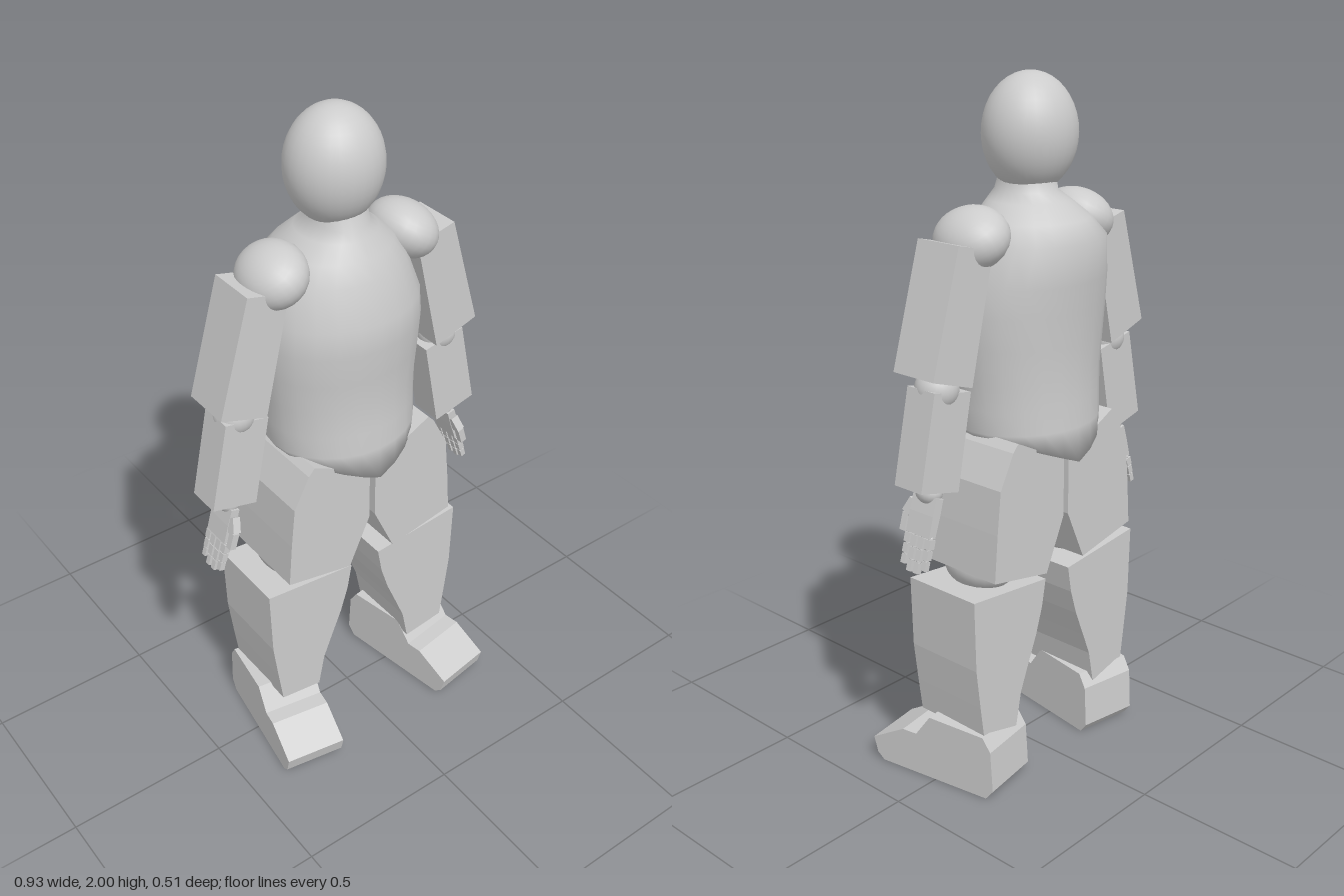
import * as THREE from 'three';

const material = new THREE.MeshStandardMaterial({ color: 0xcccccc });
const MID = -0.037; // depth of the arm line

function add(parent, name, geometry, x = 0, y = 0, z = 0) {
  const mesh = new THREE.Mesh(geometry, material);
  mesh.name = name;
  mesh.position.set(x, y, z);
  parent.add(mesh);
  return mesh;
}

// Outline extruded between two depths; side mirrors it in x
function slab(points, side, z0, z1) {
  const shape = new THREE.Shape(points.map(([x, y]) => new THREE.Vector2(x * side, y)));
  return new THREE.ExtrudeGeometry(shape, { depth: z1 - z0, bevelEnabled: false }).translate(0, 0, z0);
}

function ellipsoid(rx, ry, rz, w = 24, h = 16) {
  return new THREE.SphereGeometry(1, w, h).scale(rx, ry, rz);
}

// Rings of [y, half width, front z, back z]; the lowest ring is cut to a V
function torsoGeometry() {
  const rings = [
    [1.73, 0.075, 0.045, -0.115], [1.69, 0.08, 0.06, -0.125], [1.665, 0.11, 0.075, -0.16],
    [1.62, 0.165, 0.1, -0.21], [1.57, 0.205, 0.127, -0.253], [1.46, 0.237, 0.162, -0.243],
    [1.38, 0.243, 0.163, -0.234], [1.29, 0.238, 0.155, -0.227], [1.2, 0.23, 0.149, -0.222],
    [1.12, 0.225, 0.154, -0.225], [1.055, 0.225, 0.16, -0.228], [0.955, 0.215, 0.164, -0.233],
  ];
  const n = 24, pos = [], index = [];
  rings.forEach(([y, w, front, back], i) => {
    for (let j = 0; j < n; j++) {
      const a = (j / n) * Math.PI * 2;
      const cut = i === rings.length - 1 ? 0.085 * Math.abs(Math.cos(a)) : 0;
      pos.push(-0.005 + w * Math.cos(a), y + cut, (front + back) / 2 + (front - back) / 2 * Math.sin(a));
    }
  });
  for (let i = 0; i < rings.length - 1; i++) {
    for (let j = 0; j < n; j++) {
      const a = i * n + j, b = i * n + (j + 1) % n;
      index.push(a, b, a + n, b, b + n, a + n);
    }
  }
  // underside
  const last = (rings.length - 1) * n;
  pos.push(-0.005, 0.99, -0.035);
  for (let j = 0; j < n; j++) index.push(last + j, last + (j + 1) % n, rings.length * n);
  const geometry = new THREE.BufferGeometry();
  geometry.setAttribute('position', new THREE.Float32BufferAttribute(pos, 3));
  geometry.setIndex(index);
  geometry.computeVertexNormals();
  return geometry;
}

// Hand hangs down from the wrist at its origin
function makeHand(side) {
  const hand = new THREE.Group();
  hand.name = 'hand';
  add(hand, 'wrist', ellipsoid(0.035, 0.035, 0.04, 16, 12));
  const palm = [[-0.013, -0.01], [0.013, -0.01], [0.014, -0.06], [0.012, -0.12], [-0.012, -0.12], [-0.014, -0.06]];
  add(hand, 'palm', slab(palm, side, -0.044, 0.044));
  const lengths = [0.09, 0.105, 0.105, 0.09];
  lengths.forEach((length, i) => {
    const z = 0.039 - i * 0.026;
    for (let k = 0; k < 3; k++) {
      const part = length / 3, size = 0.02 - k * 0.002;
      const y = -0.121 - part * (k + 0.5);
      add(hand, 'fingerSegment', new THREE.BoxGeometry(size, part * 0.86, size), 0, y, z);
      add(hand, 'fingerJoint', ellipsoid(0.008, 0.008, 0.008, 8, 6), 0, y + part / 2, z);
    }
  });
  // thumb
  const thumb = new THREE.Group();
  thumb.name = 'thumb';
  thumb.position.set(0, -0.04, 0.045);
  thumb.rotation.x = -0.45;
  add(thumb, 'thumbBase', new THREE.BoxGeometry(0.024, 0.045, 0.028), 0, -0.015, 0);
  const tip = add(thumb, 'thumbTip', new THREE.BoxGeometry(0.02, 0.05, 0.02), 0, -0.06, -0.01);
  tip.rotation.x = 0.45;
  hand.add(thumb);
  return hand;
}

function makeArm(side) {
  const arm = new THREE.Group();
  arm.name = side > 0 ? 'leftArm' : 'rightArm';
  const shoulder = add(arm, 'shoulder', ellipsoid(0.097, 0.079, 0.112), side * 0.213, 1.588, MID);
  shoulder.rotation.z = -side * 0.55;
  const upper = [[0.335, 1.596], [0.21, 1.566], [0.292, 1.213], [0.434, 1.259]];
  add(arm, 'upperArm', slab(upper, side, -0.111, 0.037));
  add(arm, 'elbow', ellipsoid(0.06, 0.06, 0.06), side * 0.35, 1.21, MID);
  const lower = [[0.407, 1.22], [0.273, 1.193], [0.325, 0.923], [0.463, 0.957]];
  add(arm, 'forearm', slab(lower, side, -0.087, 0.014));
  const hand = makeHand(side);
  hand.position.set(side * 0.386, 0.93, MID);
  hand.rotation.z = side * 0.3;
  arm.add(hand);
  return arm;
}

function makeLeg(side) {
  const leg = new THREE.Group();
  leg.name = side > 0 ? 'leftLeg' : 'rightLeg';
  const thigh = [[0.2, 1.052], [0.22, 1.03], [0.27, 0.934], [0.283, 0.81], [0.294, 0.672],
    [0.08, 0.63], [0.01, 0.785], [0.01, 0.957]];
  add(leg, 'thigh', slab(thigh, side, -0.19, 0.122));
  add(leg, 'knee', ellipsoid(0.1, 0.085, 0.115), side * 0.185, 0.665, -0.035);
  const shin = [[0.345, 0.622], [0.05, 0.593], [0.065, 0.51], [0.09, 0.43], [0.125, 0.345], [0.155, 0.27],
    [0.175, 0.168], [0.31, 0.187], [0.324, 0.29], [0.339, 0.41]];
  add(leg, 'shin', slab(shin, side, -0.16, 0.09));
  add(leg, 'ankle', ellipsoid(0.06, 0.05, 0.07), side * 0.24, 0.18, -0.06);

  // side profile of the foot, heel to toe, turned outward
  const profile = [[-0.188, 0], [0.18, 0], [0.203, 0.02], [0.216, 0.068], [0.106, 0.13],
    [0.058, 0.13], [0.008, 0.2], [-0.178, 0.195], [-0.204, 0.155], [-0.212, 0.03]];
  const footGeometry = slab(profile, 1, -0.093, 0.093).rotateY(-Math.PI / 2);
  const foot = add(leg, 'foot', footGeometry, side * 0.26, 0, 0.025);
  foot.rotation.y = side * 0.16;
  return leg;
}

export function createModel() {
  const model = new THREE.Group();
  model.name = 'blockFigure';
  add(model, 'head', ellipsoid(0.136, 0.16, 0.127, 28, 20), -0.011, 1.84, -0.04);
  add(model, 'torso', torsoGeometry());
  for (const side of [1, -1]) model.add(makeArm(side), makeLeg(side));
  return model;
}
